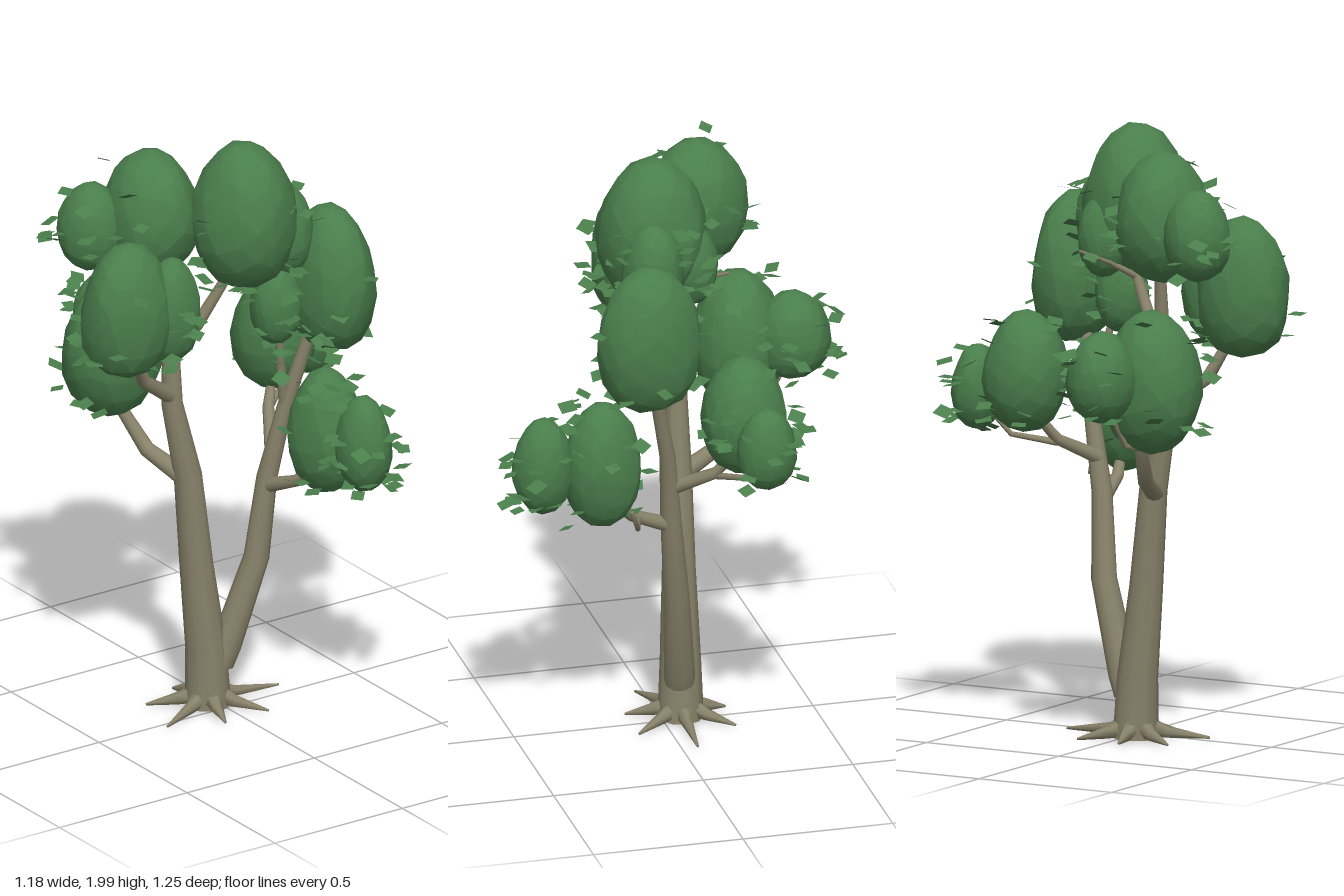
import * as THREE from 'three';
import { mergeGeometries } from 'three/addons/utils/BufferGeometryUtils.js';

const bark = new THREE.MeshStandardMaterial({ color: 0x88826a });
bark.name = 'bark';
const foliage = new THREE.MeshStandardMaterial({ color: 0x4a7e4c });
foliage.name = 'foliage green';
const leaf = new THREE.MeshStandardMaterial({ color: 0x4a7e4b, side: THREE.DoubleSide });
leaf.name = 'leaf green';

let seed = 11;
const rnd = () => (seed = (seed * 16807) % 2147483647) / 2147483647;

// Tapered limb through points [x, y, z, radius], closed at both ends.
function limb(points, sides = 10) {
  const pts = points.map(p => new THREE.Vector3(p[0], p[1], p[2]));
  const pos = [], idx = [], up = new THREE.Vector3(0, 1, 0), last = pts.length - 1;
  pts.forEach((p, i) => {
    const dir = pts[Math.min(i + 1, last)].clone().sub(pts[Math.max(i - 1, 0)]).normalize();
    if (i === 0 && p.y === 0) dir.copy(up);
    const q = new THREE.Quaternion().setFromUnitVectors(up, dir);
    for (let s = 0; s < sides; s++) {
      const a = s / sides * Math.PI * 2;
      const v = new THREE.Vector3(Math.cos(a), 0, Math.sin(a)).multiplyScalar(points[i][3]);
      pos.push(...v.applyQuaternion(q).add(p).toArray());
    }
  });
  for (let i = 0; i < last; i++) {
    for (let s = 0; s < sides; s++) {
      const a = i * sides + s, b = i * sides + (s + 1) % sides;
      idx.push(a, a + sides, b, b, a + sides, b + sides);
    }
  }
  // End caps use their own vertices so the rims stay sharp.
  for (const ring of [0, last]) {
    const c = pos.length / 3;
    pos.push(...pos.slice(ring * sides * 3, (ring + 1) * sides * 3));
    for (let s = 1; s < sides - 1; s++) {
      if (ring) idx.push(c, c + s + 1, c + s);
      else idx.push(c, c + s, c + s + 1);
    }
  }
  const g = new THREE.BufferGeometry();
  g.setAttribute('position', new THREE.Float32BufferAttribute(pos, 3));
  g.setIndex(idx);
  g.computeVertexNormals();
  return g;
}

// Irregular egg, narrower on top and optionally fuller below;
// facets are softened towards the round normal.
function crown([x, y, z, rx, ry, rz, , full = 0], k) {
  const g = new THREE.IcosahedronGeometry(1, 2);
  g.rotateX(k * 1.3).rotateZ(k * 0.7);
  const p = g.attributes.position, v = new THREE.Vector3(), round = [];
  for (let i = 0; i < p.count; i++) {
    v.fromBufferAttribute(p, i);
    round.push(new THREE.Vector3(v.x / rx, v.y / ry, v.z / rz).normalize());
    const bump = 1.01 + 0.06 * Math.sin(v.x * 5 + k) * Math.cos(v.z * 4 + v.y * 3 + k * 2);
    const w = bump * (1 - 0.1 * v.y + full * Math.min(v.y, 0) ** 2);
    p.setXYZ(i, x + v.x * w * rx, y + v.y * ry * 1.01, z + v.z * w * rz);
  }
  g.computeVertexNormals();
  const n = g.attributes.normal;
  for (let i = 0; i < n.count; i++) {
    v.fromBufferAttribute(n, i).lerp(round[i], 0.5).normalize();
    n.setXYZ(i, v.x, v.y, v.z);
  }
  return g;
}

// Loose square leaves hovering around a crown, nearly level.
function leaves([x, y, z, rx, ry, rz, count]) {
  const list = [];
  for (let i = 0; i < count; i++) {
    const h = rnd() * 1.6 - 0.8, a = rnd() * Math.PI * 2, r = Math.sqrt(1 - h * h);
    const gap = rnd() * 0.05, size = 0.038 + rnd() * 0.016;
    const g = new THREE.PlaneGeometry(size, size);
    g.rotateX(-Math.PI / 2 + (rnd() - 0.5) * 0.9);
    g.rotateZ((rnd() - 0.5) * 0.9);
    g.rotateY(rnd() * 6.28);
    g.translate(x + Math.cos(a) * (r * rx + gap), y + h * (ry + gap), z + Math.sin(a) * (r * rz + gap));
    list.push(g);
  }
  return mergeGeometries(list);
}

// Limbs: [x, y, z, radius]
const limbs = {
  mainTrunk: [[-0.028, 0, -0.065, 0.075], [-0.035, 0.2, -0.066, 0.067], [-0.07, 0.5, -0.07, 0.055],
    [-0.1, 0.82, -0.075, 0.046], [-0.155, 1.08, -0.085, 0.035], [-0.15, 1.27, -0.1, 0.028],
    [-0.17, 1.6, -0.15, 0.016]],
  sideTrunk: [[0.005, 0.14, -0.052, 0.05], [0.03, 0.2, -0.045, 0.05], [0.125, 0.5, -0.01, 0.042],
    [0.148, 0.78, 0.015, 0.034], [0.2, 1.02, 0.04, 0.026], [0.25, 1.25, 0.09, 0.021], [0.29, 1.42, 0.12, 0.014]],
  topBranch: [[-0.15, 1.25, -0.095, 0.025], [-0.08, 1.35, -0.05, 0.021], [0, 1.5, -0.01, 0.017], [0.02, 1.66, 0.02, 0.012]],
  topTwig: [[0, 1.5, -0.01, 0.012], [0.04, 1.56, -0.12, 0.009], [0.11, 1.6, -0.19, 0.005]],
  leftBranch: [[-0.15, 1.1, -0.085, 0.028], [-0.29, 1.2, -0.05, 0.022], [-0.36, 1.34, -0.01, 0.016]],
  backBranch: [[-0.11, 0.81, -0.08, 0.032], [-0.16, 0.87, -0.22, 0.026], [-0.2, 1, -0.32, 0.02], [-0.23, 1.15, -0.33, 0.013]],
  backTwig: [[-0.2, 1, -0.32, 0.012], [-0.19, 1.02, -0.4, 0.01], [-0.16, 1.15, -0.46, 0.006]],
  innerBranch: [[0.2, 1.02, 0.04, 0.018], [0.17, 1.2, 0.06, 0.014], [0.14, 1.4, 0.09, 0.01]],
  frontBranch: [[0.145, 0.75, 0.01, 0.026], [0.17, 0.81, 0.15, 0.02], [0.21, 0.9, 0.25, 0.014]],
  frontTwig: [[0.165, 0.8, 0.13, 0.011], [0.28, 0.81, 0.16, 0.009], [0.28, 0.87, 0.18, 0.007]],
  rearBranch: [[0.165, 0.89, 0.02, 0.025], [0.24, 0.96, -0.11, 0.019], [0.3, 1.06, -0.17, 0.013]],
  rearTwig: [[0.24, 0.95, -0.11, 0.012], [0.36, 0.98, -0.2, 0.009], [0.46, 1.08, -0.22, 0.006]],
};

// Crowns: [x, y, z, radiusX, radiusY, radiusZ, leaf count, fullness below]
const crowns = [
  [0.035, 1.745, 0.045, 0.168, 0.25, 0.18, 6],
  [-0.19, 1.735, -0.16, 0.155, 0.215, 0.17, 10],
  [-0.365, 1.7, -0.24, 0.11, 0.15, 0.11, 26],
  [-0.39, 1.5, 0.005, 0.155, 0.23, 0.13, 12, 0.25],
  [-0.25, 1.48, 0.05, 0.1, 0.18, 0.09, 24],
  [-0.235, 1.22, -0.31, 0.165, 0.235, 0.15, 20],
  [-0.145, 1.25, -0.47, 0.11, 0.15, 0.125, 30],
  [0.315, 1.49, 0.13, 0.13, 0.25, 0.17, 8, 0.2],
  [0.17, 1.67, 0.08, 0.1, 0.16, 0.1, 24],
  [0.09, 1.64, -0.07, 0.085, 0.14, 0.085, 26],
  [0.125, 1.43, 0.1, 0.085, 0.14, 0.085, 28],
  [0.315, 1.19, -0.185, 0.135, 0.2, 0.14, 18],
  [0.475, 1.13, -0.22, 0.08, 0.14, 0.095, 30],
  [0.21, 1.02, 0.26, 0.12, 0.215, 0.13, 24],
  [0.22, 1.04, 0.46, 0.09, 0.165, 0.1, 30],
];

export function createModel() {
  const tree = new THREE.Group();
  tree.name = 'tree';
  const add = (geometry, material, name) => {
    const m = new THREE.Mesh(geometry, material);
    m.name = name;
    tree.add(m);
  };

  for (const [name, path] of Object.entries(limbs)) add(limb(path), bark, name);

  // Low pointed roots spreading over the ground
  const lengths = [0.27, 0.21, 0.18, 0.24, 0.2, 0.16, 0.2];
  lengths.forEach((len, i) => {
    const a = i * Math.PI * 2 / 7 + 0.05, c = Math.cos(a), s = Math.sin(a);
    const at = (d, y, r) => [-0.03 + c * d, y, -0.065 + s * d, r];
    add(limb([at(0.05, 0.035, 0.03), at(0.1, 0.021, 0.02), at(len, 0.005, 0.004)], 6), bark, 'root' + (i + 1));
  });

  crowns.forEach((c, i) => {
    add(crown(c, i), foliage, 'crown' + (i + 1));
    add(leaves(c), leaf, 'looseLeaves' + (i + 1));
  });

  // Sparse leaves hanging under the right-hand crowns
  add(leaves([0.2, 1.32, 0.15, 0.07, 0.08, 0.07, 20]), leaf, 'hangingLeaves');
  return tree;
}
